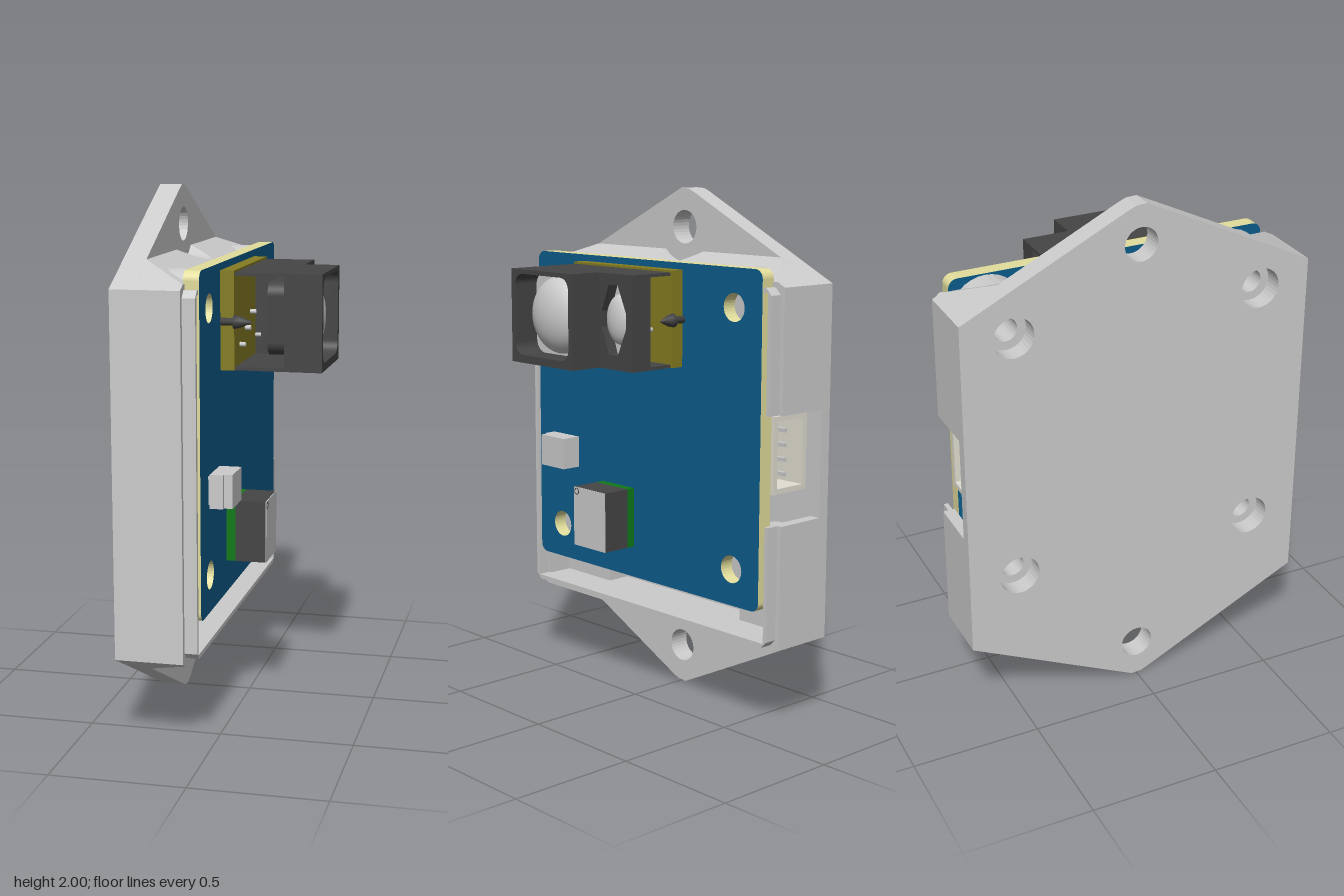
import * as THREE from 'three';

const mat = (color) => new THREE.MeshStandardMaterial({ color });
const grey = mat(0xcccccc), dark = mat(0x454545), blue = mat(0x0c5c8c), cream = mat(0xe3de9c);
const olive = mat(0x857d22), green = mat(0x0f7a1a), white = mat(0xe2dfd2);

// Local frame: u across the board, y up, w = outward (the whole group is turned to face +x at the end)
function poly(points) {
  return new THREE.Shape(points.map(([u, y]) => new THREE.Vector2(u, y)));
}
function hole(shape, u, y, r) {
  const p = new THREE.Path();
  p.absarc(u, y, r, 0, Math.PI * 2, true);
  shape.holes.push(p);
  return shape;
}
function roundRect(u0, u1, y0, y1, r, Type = THREE.Shape) {
  const s = new Type();
  s.absarc(u1 - r, y0 + r, r, -Math.PI / 2, 0, false);
  s.absarc(u1 - r, y1 - r, r, 0, Math.PI / 2, false);
  s.absarc(u0 + r, y1 - r, r, Math.PI / 2, Math.PI, false);
  s.absarc(u0 + r, y0 + r, r, Math.PI, Math.PI * 1.5, false);
  s.closePath();
  return s;
}
function add(parent, name, geometry, material) {
  const m = new THREE.Mesh(geometry, material);
  m.name = name;
  parent.add(m);
  return m;
}
function slab(parent, name, shape, w0, w1, material = grey) {
  const g = new THREE.ExtrudeGeometry(shape, { depth: w1 - w0, bevelEnabled: false, curveSegments: 16 });
  return add(parent, name, g.translate(0, 0, w0), material);
}
function box(parent, name, u0, u1, y0, y1, w0, w1, material = grey) {
  const g = new THREE.BoxGeometry(u1 - u0, y1 - y0, w1 - w0);
  return add(parent, name, g.translate((u0 + u1) / 2, (y0 + y1) / 2, (w0 + w1) / 2), material);
}
function dome(parent, name, u, y, w, ru, ry, rw, material) {
  const g = new THREE.SphereGeometry(1, 32, 20);
  g.scale(ru, ry, rw).translate(u, y, w);
  return add(parent, name, g, material);
}

// Rounded tip of a mounting ear, from the right edge to the left
const earTip = [[0.653, 1.69], [0.07, 1.976], [0.045, 1.988], [0.02, 1.998], [-0.02, 2], [-0.045, 1.988], [-0.07, 1.976], [-0.653, 1.69]];
const corners = [-1, 1].flatMap((s) => [[s * 0.49, 0.61], [s * 0.49, 1.59]]);

// Wall outline with a gap in one side for the cable connector
function gappedWall(a, y0, y1, c, cy, t) {
  return poly([
    [a, 1.21], [a, y1 - cy], [a - c, y1], [c - a, y1], [-a, y1 - cy], [-a, y0 + cy], [c - a, y0], [a - c, y0], [a, y0 + cy], [a, 0.8],
    [a - t, 0.8], [a - t, y0 + t], [t - a, y0 + t], [t - a, y1 - t], [a - t, y1 - t], [a - t, 1.21],
  ]);
}

// Sloped web between ear and body, cut back by a round screw-head clearance
function rampGeometry() {
  const us = [];
  for (let i = 0; i <= 20; i++) us.push(-0.105 + 0.0105 * i);
  const all = [-0.653, -0.51, -0.106, ...us, 0.106, 0.51, 0.653];
  const pos = [];
  const section = (u) => {
    let y = Math.min(1.76, 2.01 - 0.49 * Math.abs(u));
    if (Math.abs(u) < 0.1055) y = Math.min(y, 1.86 - Math.sqrt(0.145 ** 2 - u * u));
    const w = -0.09 - (y - 1.69) * (0.17 / 0.07);
    return [[u, 1.69, -0.09], [u, y, w], [u, y, -0.26]];
  };
  for (let i = 0; i + 1 < all.length; i++) {
    const a = section(all[i]), b = section(all[i + 1]);
    for (let k = 0; k < 2; k++) {
      pos.push(...a[k], ...b[k], ...b[k + 1], ...a[k], ...b[k + 1], ...a[k + 1]);
    }
  }
  const g = new THREE.BufferGeometry();
  g.setAttribute('position', new THREE.Float32BufferAttribute(pos, 3));
  g.computeVertexNormals();
  return g;
}

function housing() {
  const g = new THREE.Group();
  g.name = 'housing';
  // Back plate with ear holes and screw counterbores
  const back = poly([[0.69, 0.328], [0.69, 1.672], ...earTip, [-0.69, 1.672], [-0.69, 0.328], ...earTip.map(([u, y]) => [-u, 2 - y])]);
  [0.15, 1.85].forEach((y) => hole(back, 0, y, 0.065));
  corners.forEach(([u, y]) => hole(back, u, y, 0.078));
  slab(g, 'backPlate', back, -0.345, -0.3);
  slab(g, 'sideWall', gappedWall(0.69, 0.31, 1.69, 0.037, 0.018, 0.045), -0.3, -0.09);
  slab(g, 'rimLip', gappedWall(0.67, 0.34, 1.67, 0.025, 0.025, 0.017), -0.1, -0.042);
  // Ears, top and bottom
  const rampMaterial = new THREE.MeshStandardMaterial({ color: 0xcccccc, side: THREE.DoubleSide });
  [0, 1].forEach((flip) => {
    const ear = new THREE.Group();
    ear.name = flip ? 'lowerEar' : 'upperEar';
    slab(ear, 'earPlate', hole(poly(earTip), 0, 1.85, 0.065), -0.3, -0.26);
    add(ear, 'earRamp', rampGeometry(), rampMaterial);
    if (flip) {
      ear.rotation.z = Math.PI;
      ear.position.y = 2;
    }
    g.add(ear);
  });
  // Screw posts, counterbored from the back
  corners.forEach(([u, y]) => {
    const ring = (r, inner) => {
      const s = new THREE.Shape();
      s.absarc(u, y, r, 0, Math.PI * 2, false);
      return inner ? hole(s, u, y, inner) : s;
    };
    slab(g, 'postBase', ring(0.14, 0.078), -0.3, -0.27);
    slab(g, 'postSleeve', ring(0.14, 0.045), -0.27, -0.12);
    slab(g, 'postTop', ring(0.14), -0.12, -0.096);
  });
  // Low shelves beside the lower pocket
  [-1, 1].forEach((s) => box(g, 'innerShelf', s > 0 ? 0.38 : -0.65, s > 0 ? 0.65 : -0.38, 0.35, 0.47, -0.3, -0.2));
  return g;
}

function sensorModule() {
  const g = new THREE.Group();
  g.name = 'sensorModule';
  box(g, 'sensorBoard', -0.34, 0.225, 1.345, 1.71, -0.034, 0.018, olive);
  // Stepped top and bottom covers
  const cover = poly([[-0.33, 0.018], [0.215, 0.018], [0.215, 0.21], [0.03, 0.21], [0.03, 0.34], [-0.33, 0.34]]);
  [1.345, 1.69].forEach((y) => {
    const c = slab(g, 'cover', cover, 0, 0.012, dark);
    c.geometry.rotateX(Math.PI / 2).scale(1, 1, 1).translate(0, 0, 0);
    c.rotation.x = -Math.PI;
    c.geometry.rotateX(Math.PI);
    c.position.y = y;
    c.geometry.computeBoundingBox();
    const b = c.geometry.boundingBox;
    c.rotation.x = b.min.z < -0.1 ? Math.PI : 0;
    c.position.y = y + (c.rotation.x ? b.max.y : -b.min.y);
  });
  // Lens frames with rounded windows
  const bigFrame = roundRect(-0.33, 0.03, 1.345, 1.702, 0.008);
  bigFrame.holes.push(roundRect(-0.308, 0.006, 1.375, 1.685, 0.045, THREE.Path));
  slab(g, 'largeLensFrame', bigFrame, 0.2, 0.34, dark);
  const smallFrame = roundRect(0.02, 0.215, 1.345, 1.702, 0.008);
  smallFrame.holes.push(poly([[0.085, 1.4], [0.135, 1.4], [0.18, 1.5], [0.18, 1.56], [0.135, 1.66], [0.085, 1.66], [0.045, 1.56], [0.045, 1.5]]));
  slab(g, 'smallLensFrame', smallFrame, 0.12, 0.21, dark);
  box(g, 'dividerWall', 0.016, 0.03, 1.355, 1.7, 0.018, 0.22, dark);
  // Lenses and their carriers
  slab(g, 'largeLensBarrel', roundRect(-0.29, -0.01, 1.395, 1.665, 0.05), 0.13, 0.215, dark);
  slab(g, 'largeLensFlange', roundRect(-0.308, 0.006, 1.375, 1.685, 0.05), 0.21, 0.235);
  dome(g, 'largeLens', -0.155, 1.53, 0.235, 0.148, 0.148, 0.085, grey);
  slab(g, 'smallLensFlange', poly([[0.095, 1.4], [0.128, 1.4], [0.17, 1.53], [0.128, 1.66], [0.095, 1.66], [0.05, 1.53]]), 0.13, 0.175);
  dome(g, 'smallLens', 0.11, 1.53, 0.17, 0.068, 0.095, 0.04, grey);
  // Tapered locating pegs at both ends
  [-0.345, 0.23].forEach((u) => {
    const peg = new THREE.LatheGeometry([[0, -0.03], [0.014, -0.03], [0.014, 0.018], [0.026, 0.018], [0.022, 0.04], [0, 0.09]].map(([r, h]) => new THREE.Vector2(r, h)), 16);
    add(g, 'locatingPeg', peg.rotateX(Math.PI / 2).translate(u, 1.525, 0), dark);
  });
  // Solder pins on the sensor board
  for (let i = 0; i < 5; i++) {
    const pin = new THREE.CylinderGeometry(0.009, 0.009, 0.085, 10).rotateX(Math.PI / 2);
    add(g, 'solderPin', pin.translate(-0.25 + 0.09 * i, 1.43 + 0.05 * (i % 3), -0.002), grey);
  }
  return g;
}

function cableConnector() {
  const g = new THREE.Group();
  g.name = 'cableConnector';
  // Open-sided shell facing the wall gap
  box(g, 'shellBack', 0.42, 0.45, 0.91, 1.2, -0.27, -0.095, white);
  box(g, 'shellFloor', 0.44, 0.645, 0.91, 1.2, -0.27, -0.25, white);
  box(g, 'shellRoof', 0.44, 0.645, 0.91, 1.2, -0.115, -0.095, white);
  box(g, 'shellLowerSide', 0.44, 0.645, 0.91, 0.93, -0.25, -0.115, white);
  box(g, 'shellUpperSide', 0.44, 0.645, 1.18, 1.2, -0.25, -0.115, white);
  for (let i = 0; i < 4; i++) box(g, 'contactPin', 0.45, 0.62, 0.965 + 0.055 * i, 0.98 + 0.055 * i, -0.19, -0.175);
  return g;
}

export function createModel() {
  const model = new THREE.Group();
  model.name = 'sensorUnit';
  const unit = new THREE.Group();
  unit.name = 'unit';
  unit.add(housing(), sensorModule(), cableConnector());
  // Circuit board: blue faces, cream edges
  const board = roundRect(-0.63, 0.63, 0.47, 1.735, 0.035);
  corners.forEach(([u, y]) => hole(board, u, y, 0.053));
  slab(unit, 'circuitBoard', board, -0.095, -0.038, [blue, cream]);
  // Small chips on the board
  box(unit, 'smallChip', -0.53, -0.375, 0.87, 0.995, -0.03, 0.02);
  box(unit, 'smallChipTop', -0.515, -0.375, 0.87, 0.995, 0.02, 0.052);
  [-0.5, -0.405].forEach((u) => box(unit, 'smallChipFoot', u - 0.015, u + 0.015, 0.88, 0.985, -0.04, -0.03));
  box(unit, 'chipSubstrate', -0.235, -0.05, 0.595, 0.832, -0.04, -0.003, green);
  box(unit, 'chipBody', -0.235, -0.05, 0.595, 0.832, -0.003, 0.113, dark);
  box(unit, 'chipLid', -0.235, -0.05, 0.595, 0.832, 0.113, 0.116);
  add(unit, 'chipVent', new THREE.TorusGeometry(0.012, 0.002, 6, 20).translate(-0.218, 0.815, 0.116), dark);
  unit.rotation.y = Math.PI / 2;
  model.add(unit);
  return model;
}
